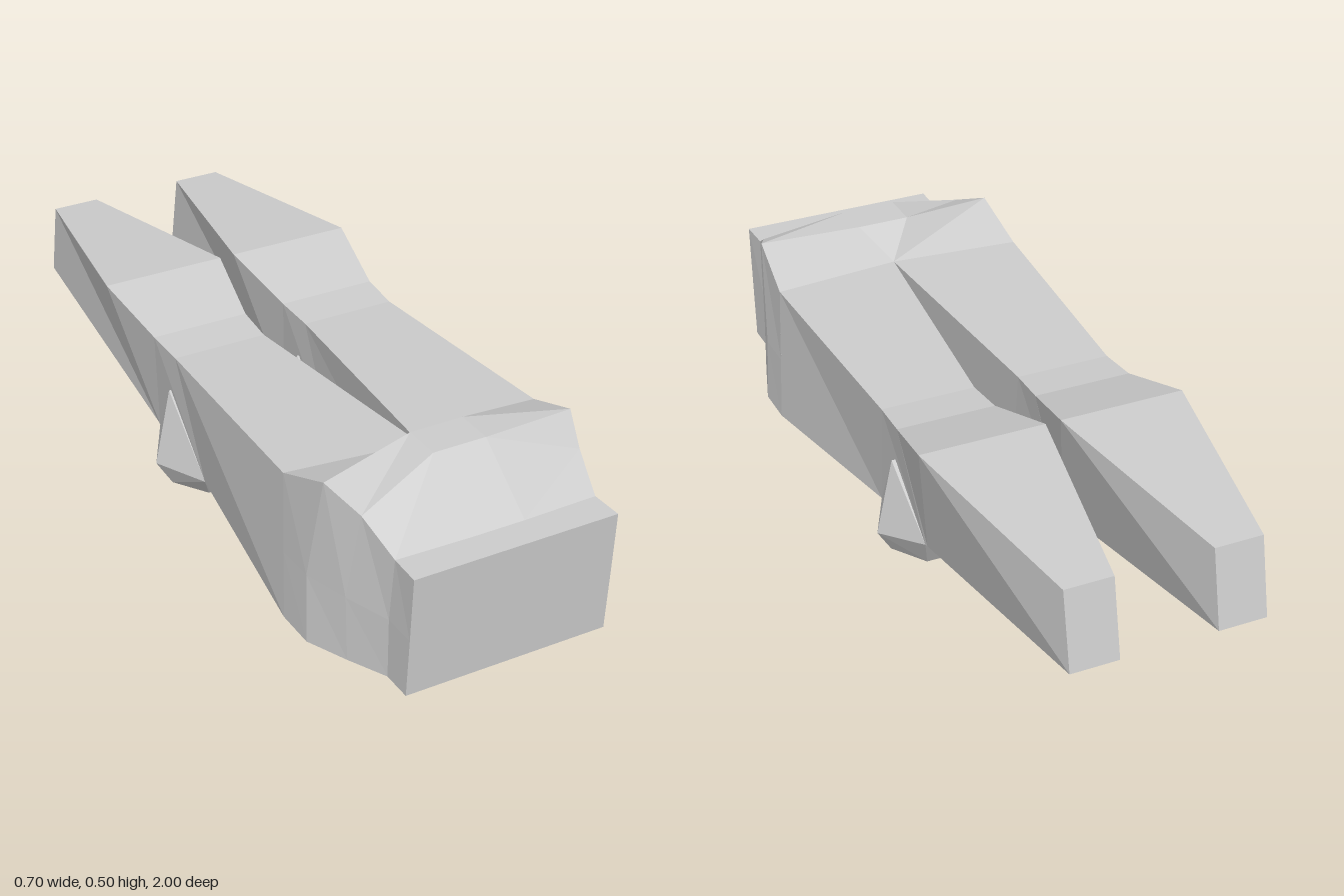
import * as THREE from 'three';
import { ConvexGeometry } from 'three/addons/geometries/ConvexGeometry.js';

const grey = new THREE.MeshStandardMaterial({ color: 0xcccccc, flatShading: true });

// Skin a list of rings (each clockwise seen from +z), ordered front to back.
function loft(rings, capFront, capBack) {
  const pos = [];
  const tri = (...pts) => pts.forEach((p) => pos.push(...p));
  const n = rings[0].length;
  for (let r = 0; r < rings.length - 1; r++) {
    for (let i = 0; i < n; i++) {
      const j = (i + 1) % n;
      const [a, b, c, d] = [rings[r][i], rings[r][j], rings[r + 1][j], rings[r + 1][i]];
      tri(a, b, c);
      tri(a, c, d);
    }
  }
  const first = rings[0], last = rings[rings.length - 1];
  for (let i = 1; i < n - 1; i++) {
    if (capFront) tri(first[0], first[i + 1], first[i]);
    if (capBack) tri(last[0], last[i], last[i + 1]);
  }
  const g = new THREE.BufferGeometry();
  g.setAttribute('position', new THREE.Float32BufferAttribute(pos, 3));
  g.computeVertexNormals();
  return g;
}

function part(name, geometry) {
  const m = new THREE.Mesh(geometry, grey);
  m.name = name;
  return m;
}

const flip = ([x, y, z]) => [-x, y, z];

// Half rings of the hips, waist first: top middle, top side, side, bottom side, bottom middle.
function hips() {
  const halves = [
    [[0.07, 0.37, 1], [0.268, 0.37, 1], [0.268, 0.2, 0.99], [0.268, 0.043, 0.98], [0.07, 0.043, 0.98]],
    [[0.07, 0.37, 0.92], [0.265, 0.37, 0.915], [0.268, 0.2, 0.9], [0.268, 0.043, 0.9], [0.07, 0.043, 0.9]],
    [[0.07, 0.497, 0.75], [0.29, 0.432, 0.81], [0.31, 0.2, 0.78], [0.31, 0.032, 0.79], [0.07, 0.022, 0.79]],
    [[0.07, 0.497, 0.65], [0.33, 0.475, 0.71], [0.345, 0.2, 0.66], [0.35, 0.02, 0.67], [0.07, 0, 0.67]],
    [[0, 0.41, 0.58], [0.342, 0.412, 0.545], [0.346, 0.2, 0.55], [0.35, 0.02, 0.56], [0.07, 0, 0.55]],
  ];
  return loft(halves.map((h) => [...h, ...h.map(flip).reverse()]), true, true);
}

// Leg rings: top inner, top outer, bottom outer, bottom inner.
function leg(side) {
  const rings = [
    [[0, 0.41, 0.58], [0.342, 0.412, 0.545], [0.35, 0.02, 0.56], [0.07, 0, 0.55]],
    [[0.06, 0.39, -0.08], [0.31, 0.39, -0.08], [0.28, 0.065, 0.01], [0.09, 0.065, 0.01]],
    [[0.055, 0.397, -0.19], [0.315, 0.397, -0.19], [0.275, 0.09, -0.26], [0.095, 0.09, -0.26]],
    [[0.02, 0.455, -0.4], [0.348, 0.455, -0.4], [0.274, 0.092, -0.27], [0.096, 0.092, -0.27]],
    [[0.125, 0.412, -0.96], [0.25, 0.412, -0.96], [0.25, 0.21, -1], [0.125, 0.21, -1]],
  ];
  return loft(side > 0 ? rings : rings.map((r) => r.map(flip).reverse()), false, true);
}

// Faceted knee: a hexagonal pad flaring into peaks on both sides of the leg.
function knee(side) {
  const centre = 0.185;
  // half width, y, z
  const pairs = [
    [0.122, 0.27, -0.13], [0.165, 0.065, -0.13],
    [0.095, 0.065, 0.01], [0.09, 0.09, -0.26],
    [0.065, 0, -0.03], [0.125, 0, -0.12], [0.065, 0, -0.21],
  ];
  const pts = [];
  for (const [w, y, z] of pairs) {
    for (const s of [-1, 1]) pts.push(new THREE.Vector3(side * centre + s * w, y, z));
  }
  return new ConvexGeometry(pts);
}

export function createModel() {
  const model = new THREE.Group();
  model.name = 'lowerBody';
  model.add(part('hips', hips()));
  for (const [name, side] of [['left', 1], ['right', -1]]) {
    model.add(part(name + 'Leg', leg(side)), part(name + 'Knee', knee(side)));
  }
  return model;
}
